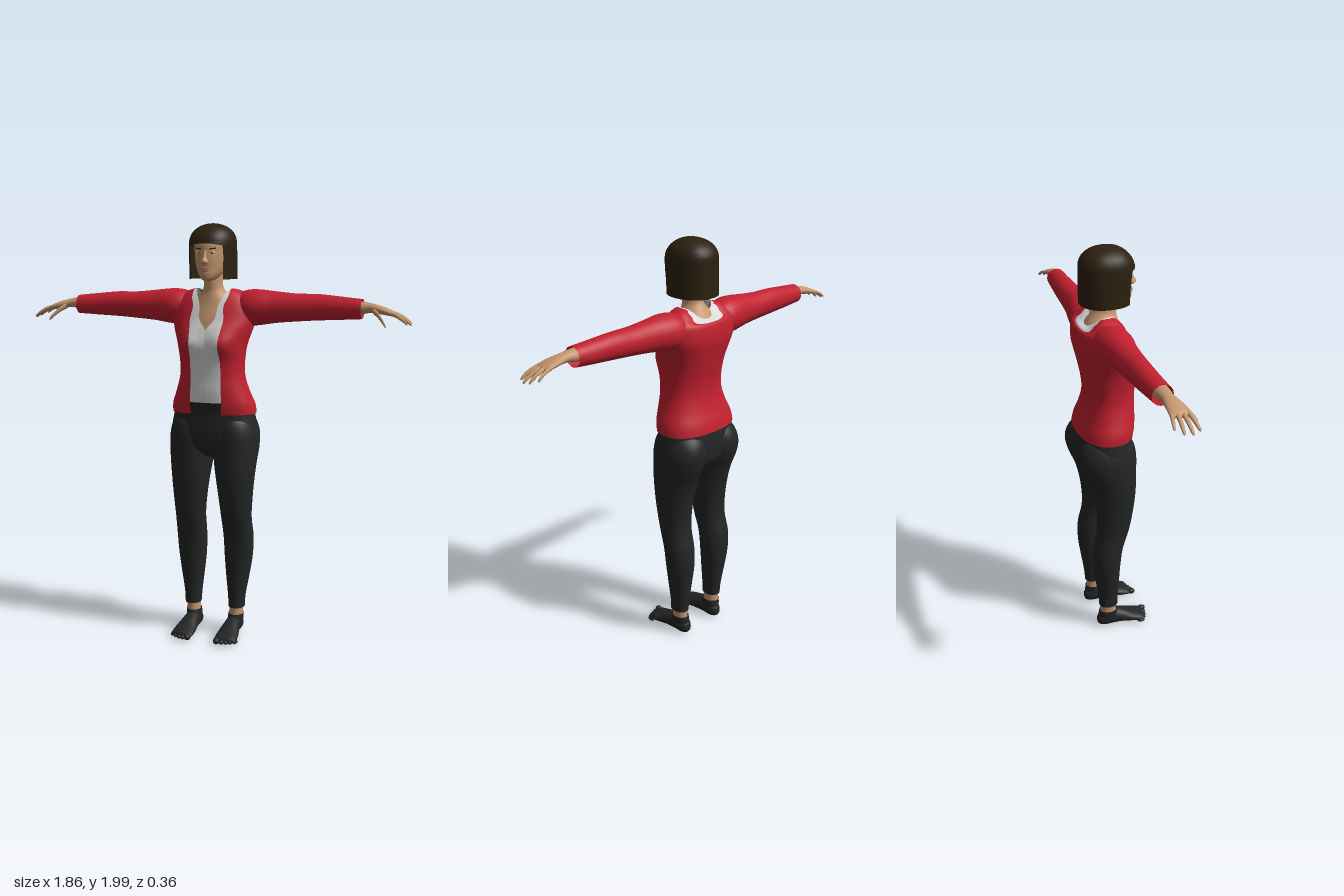
import * as THREE from 'three';

const mat = (name, color, side = THREE.FrontSide) => {
  const m = new THREE.MeshStandardMaterial({ color, side });
  m.name = name;
  return m;
};

// Axis maps: u is the sideways radius, v the frontal one, t runs along the loft
const alongY = (t, u, v) => [u, t, v];
const alongX = (t, u, v) => [t, v, u];
const alongZ = (t, u, v) => [v, u, t];

// Row helper for upright cross-sections: height, centre x, half width, front z, back z, front gap
const up = (y, cx, hw, f, b, gap = 0) => [y, cx, (f + b) / 2, hw, (f - b) / 2, gap];

const spline = (a, b, c, d, s) =>
  0.5 * (2 * b + (c - a) * s + (2 * a - 5 * b + 4 * c - d) * s * s + (3 * b - a - 3 * c + d) * s * s * s);

// Smooth skin over rows [t, cu, cv, ru, rv, gap]; a gap leaves the front open
function loft(rows, map, { n = 28, steps = 4, e = 1, open = false, warp } = {}) {
  const r = rows[0][0] > rows.at(-1)[0] ? [...rows].reverse() : rows;
  const pos = [], index = [], cols = open ? n + 1 : n;
  const total = (r.length - 1) * steps;
  const pw = x => Math.sign(x) * Math.pow(Math.abs(x), e);
  for (let j = 0; j <= total; j++) {
    const k = Math.min(Math.floor(j / steps), r.length - 2), s = j / steps - k;
    const q = i => r[Math.max(0, Math.min(r.length - 1, i))];
    const [t, cu, cv, ru0, rv0, gap] = r[0].map((_, i) => spline(q(k - 1)[i], q(k)[i], q(k + 1)[i], q(k + 2)[i], s));
    const ru = Math.max(ru0, 0), rv = Math.max(rv0, 0);
    const a0 = open ? Math.asin(Math.pow(Math.min(1, Math.max(0, gap) / ru), 1 / e)) : 0;
    for (let i = 0; i < cols; i++) {
      const a = a0 + (2 * Math.PI - 2 * a0) * i / n;
      const p = map(t, cu + ru * pw(Math.sin(a)), cv + rv * pw(Math.cos(a)));
      if (warp) warp(p, a);
      pos.push(...p);
    }
  }
  for (let j = 0; j < total; j++) for (let i = 0; i < n; i++) {
    const a = j * cols + i, b = j * cols + (i + 1) % cols;
    index.push(a, b, b + cols, a, b + cols, a + cols);
  }
  const g = new THREE.BufferGeometry();
  g.setAttribute('position', new THREE.Float32BufferAttribute(pos, 3));
  g.setIndex(index);
  g.computeVertexNormals();
  return g;
}

function mirrored(geo) {
  const g = geo.clone().scale(-1, 1, 1), ix = g.index.array;
  for (let i = 0; i < ix.length; i += 3) [ix[i], ix[i + 1]] = [ix[i + 1], ix[i]];
  return g;
}

export function createModel() {
  const model = new THREE.Group();
  model.name = 'woman';
  const skin = mat('skin', 0xc4966e);
  const hair = mat('dark brown hair', 0x2c2110, THREE.DoubleSide);
  const red = mat('red knit', 0xc2202f, THREE.DoubleSide);
  const white = mat('shirt white', 0xdadada, THREE.DoubleSide);
  const black = mat('black cloth', 0x242526, THREE.DoubleSide);
  const lip = mat('lips', 0xa8705a);
  const eyeWhite = mat('eye white', 0xd8d0c6);
  const iris = mat('iris', 0x4a3a2c);

  const add = (name, geo, m) => {
    const mesh = new THREE.Mesh(geo, m);
    mesh.name = name;
    model.add(mesh);
  };
  const pair = (name, geo, m) => {
    add('left' + name, geo, m);
    add('right' + name, mirrored(geo), m);
  };
  const blob = (x, y, z, sx, sy, sz) => new THREE.SphereGeometry(1, 16, 10).scale(sx, sy, sz).translate(x, y, z);

  // Torso: height, half width, front, back, cardigan opening, shirt neckline
  const torso = [
    [1.115, .205, .10, -.158, .075, 0], [1.16, .20, .108, -.148, .077, 0], [1.22, .177, .112, -.127, .076, 0],
    [1.29, .157, .112, -.112, .074, 0], [1.36, .155, .118, -.115, .074, 0], [1.44, .165, .128, -.13, .07, 0],
    [1.51, .187, .117, -.146, .076, 0], [1.56, .20, .095, -.155, .082, .036], [1.62, .20, .07, -.15, .075, .045],
    [1.66, .175, .05, -.135, .088, .06], [1.69, .13, .03, -.11, .09, .074], [1.70, .094, .02, -.085, .089, .078]];
  // Bust bulge and the dip of the back neckline
  const shape = dip => (p, a) => {
    if (p[2] > 0) p[2] += .025 * Math.exp(-(((Math.abs(p[0]) - .085) / .05) ** 2) - ((p[1] - 1.45) / .05) ** 2);
    const s = THREE.MathUtils.smoothstep(p[1], 1.63, 1.70);
    p[1] -= dip * s * Math.max(0, -Math.cos(a)) ** 3;
  };
  add('cardiganBody', loft(torso.map(([y, w, f, b, g]) => up(y, 0, w, f, b, g)), alongY,
    { n: 56, e: .85, open: true, warp: shape(.055) }), red);
  add('shirt', loft(torso.slice(1).map(([y, w, f, b, , g]) => up(y, 0, w - .01, f - .01, b + .01, g)), alongY,
    { n: 56, e: .85, open: true, warp: shape(.04) }), white);
  add('neckAndChest', loft([
    up(1.46, 0, .14, .095, -.10), up(1.50, 0, .155, .097, -.115), up(1.56, 0, .155, .08, -.125),
    up(1.62, 0, .125, .057, -.12), up(1.66, 0, .085, .046, -.10), up(1.69, 0, .055, .04, -.077),
    up(1.72, 0, .044, .04, -.06), up(1.78, 0, .045, .04, -.06)], alongY), skin);

  // Sleeves: x, centre z, centre y, half depth, half height
  pair('Sleeve', loft([
    [.10, -.045, 1.615, .06, .06, 0], [.16, -.04, 1.612, .083, .083, 0], [.22, -.036, 1.615, .083, .083, 0],
    [.30, -.036, 1.617, .068, .073, 0], [.40, -.035, 1.617, .06, .064, 0], [.50, -.035, 1.62, .054, .06, 0],
    [.60, -.03, 1.618, .05, .053, 0], [.705, -.023, 1.616, .047, .045, 0]], alongX), red);

  // Forearms, hands and fingers
  pair('Hand', loft([
    [.60, -.025, 1.62, .038, .036, 0], [.70, -.021, 1.622, .033, .029, 0], [.745, -.018, 1.622, .029, .022, 0],
    [.79, -.012, 1.614, .038, .019, 0], [.83, -.008, 1.604, .043, .015, 0], [.852, -.008, 1.597, .036, .01, 0],
    [.858, -.008, 1.595, 0, 0, 0]], alongX, { n: 20 }), skin);
  const digits = [
    ['LittleFinger', [.825, 1.603, -.04], [.905, 1.568, -.056], .0085],
    ['RingFinger', [.84, 1.602, -.02], [.928, 1.556, -.024], .0095],
    ['MiddleFinger', [.84, 1.602, .003], [.932, 1.55, .012], .0095],
    ['IndexFinger', [.835, 1.602, .022], [.918, 1.555, .046], .0095],
    ['Thumb', [.76, 1.61, .008], [.828, 1.543, .072], .0125]];
  for (const [name, a, b, r] of digits) {
    const row = (s, k) => [a[0] + (b[0] - a[0]) * s, a[2] + (b[2] - a[2]) * s,
      a[1] + (b[1] - a[1]) * s + .008 * Math.sin(Math.PI * s), r * k, r * k, 0];
    pair(name, loft([row(0, 1.1), row(.35, 1), row(.7, .9), row(.94, .65), row(1, 0)], alongX, { n: 10, steps: 3 }), skin);
  }

  // Trousers
  add('trouserSeat', loft([
    up(.90, 0, .10, .03, -.07), up(.925, 0, .18, .07, -.12), up(.96, 0, .212, .093, -.148),
    up(1.0, 0, .216, .099, -.157), up(1.05, 0, .21, .10, -.16), up(1.115, 0, .197, .096, -.152),
    up(1.172, 0, .193, .104, -.142)], alongY, { n: 40, e: .85 }), black);
  pair('TrouserLeg', loft([
    up(.14, .114, .039, .012, -.083), up(.20, .114, .043, .013, -.088), up(.30, .117, .057, .017, -.102),
    up(.40, .12, .069, .022, -.115), up(.50, .121, .073, .034, -.113), up(.60, .118, .073, .066, -.092),
    up(.70, .116, .081, .085, -.093), up(.80, .113, .092, .097, -.108), up(.88, .111, .102, .10, -.13),
    up(.95, .11, .109, .10, -.16), up(1.02, .109, .108, .099, -.175), up(1.08, .104, .095, .085, -.158),
    up(1.12, .10, .07, .05, -.12)], alongY, { n: 32, e: .95 }), black);

  // Ankles, socks and toes
  pair('Ankle', loft([up(.07, .11, .036, .008, -.078), up(.11, .112, .033, .004, -.076), up(.17, .114, .034, .004, -.076)],
    alongY), skin);
  pair('SockCuff', loft([up(.04, .107, .036, .02, -.085), up(.08, .109, .038, .016, -.085), up(.105, .111, .037, .01, -.081)],
    alongY), black);
  pair('SockFoot', loft([
    [-.093, .04, .107, 0, 0, 0], [-.087, .042, .107, .024, .02, 0], [-.06, .048, .107, .041, .035, 0],
    [-.01, .052, .107, .045, .038, 0], [.04, .046, .108, .038, .044, 0], [.09, .035, .11, .027, .053, 0],
    [.13, .028, .111, .02, .054, 0], [.15, .024, .111, .014, .048, 0], [.158, .022, .111, 0, 0, 0]], alongZ), black);
  for (let i = 0; i < 5; i++) {
    const r = i ? .0115 - i * .0005 : .016;
    pair('Toe' + (i + 1), blob(.079 + i * .0205 - (i ? 0 : .004), .008 + r, .163 - i * i * .0018 - (i ? .004 : 0), r, r, .02), black);
  }

  // Head and face
  add('head', loft([
    up(1.735, 0, 0, .085, .06), up(1.743, 0, .028, .105, .01), up(1.765, 0, .049, .112, -.04),
    up(1.79, 0, .063, .111, -.07), up(1.83, 0, .074, .112, -.09), up(1.87, 0, .079, .109, -.10),
    up(1.92, 0, .08, .10, -.10), up(1.955, 0, .05, .05, -.06)], alongY, { n: 36 }), skin);
  add('nose', loft([
    up(1.81, 0, 0, .115, .10), up(1.815, 0, .015, .126, .09), up(1.826, 0, .017, .136, .09),
    up(1.845, 0, .01, .126, .09), up(1.878, 0, .008, .112, .09)], alongY, { n: 14 }), skin);
  add('upperLip', blob(0, 1.794, .108, .023, .005, .009), lip);
  add('lowerLip', blob(0, 1.785, .107, .019, .006, .01), lip);
  pair('Eye', blob(.032, 1.866, .098, .014, .0065, .005), eyeWhite);
  pair('Iris', blob(.031, 1.866, .1015, .005, .0055, .003), iris);
  pair('Brow', new THREE.BoxGeometry(.032, .005, .006).rotateZ(.12).rotateY(.35).translate(.034, 1.884, .099), hair);

  // Bobbed hair: crown with fringe, and side curtain open at the face
  add('hairCrown', loft([
    up(1.895, 0, .108, .122, -.13), up(1.93, 0, .105, .115, -.128), up(1.962, 0, .09, .093, -.11),
    up(1.985, 0, .061, .062, -.078), up(1.997, 0, .028, .025, -.04), up(2.0, 0, 0, -.008, -.008)], alongY,
    { n: 40, e: .9, warp: (p, a) => { if (p[1] < 1.91) p[1] += .012 * Math.max(0, Math.cos(a)) ** 4; } }), hair);
  add('hairCurtain', loft([
    up(1.745, 0, .109, .108, -.13, .077), up(1.80, 0, .109, .11, -.13, .078),
    up(1.85, 0, .109, .116, -.13, .08), up(1.90, 0, .108, .121, -.13, .078)], alongY, { n: 40, e: .9, open: true }), hair);
  return model;
}
